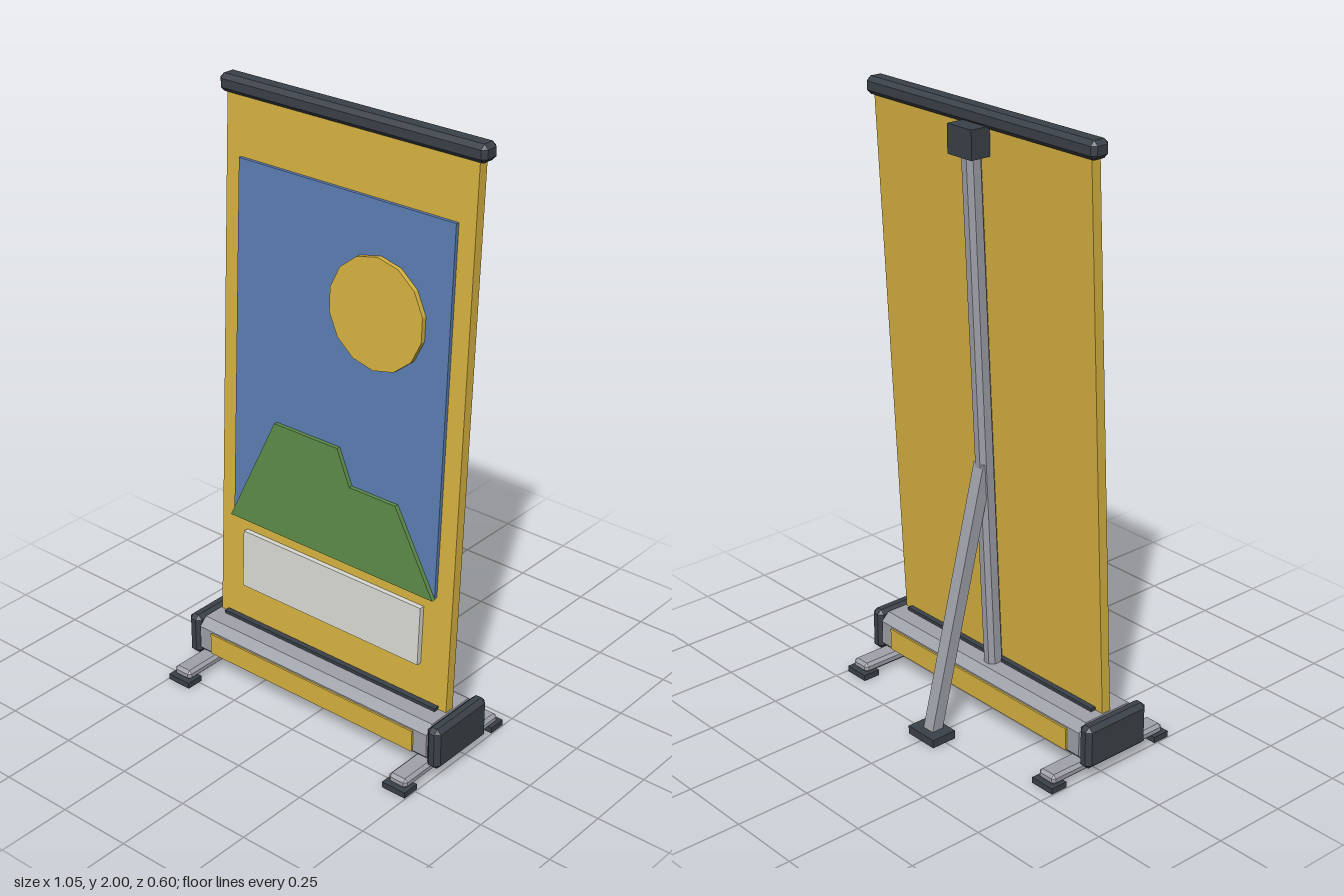
import * as THREE from 'three';
import { ConvexGeometry } from 'three/addons/geometries/ConvexGeometry.js';

const paint = (name, color) => Object.assign(new THREE.MeshStandardMaterial({ color }), { name });

// Box with every edge cut at 45 degrees
function chamferBox(w, h, d, c) {
  const points = [];
  for (const x of [-w / 2, w / 2]) for (const y of [-h / 2, h / 2]) for (const z of [-d / 2, d / 2]) {
    const sx = Math.sign(x) * c, sy = Math.sign(y) * c, sz = Math.sign(z) * c;
    points.push(
      new THREE.Vector3(x, y - sy, z - sz),
      new THREE.Vector3(x - sx, y, z - sz),
      new THREE.Vector3(x - sx, y - sy, z));
  }
  return new ConvexGeometry(points);
}

const polygon = (points) => new THREE.Shape(points.map(([x, y]) => new THREE.Vector2(x, y)));

export function createModel() {
  const model = new THREE.Group();
  model.name = 'bannerStand';
  const yellow = paint('bannerYellow', 0xd9b441);
  const blue = paint('skyBlue', 0x5c7db3);
  const green = paint('hillGreen', 0x5e8c4a);
  const white = paint('captionWhite', 0xdcdcd6);
  const dark = paint('darkPlastic', 0x3b4149);
  const silver = paint('aluminium', 0xa0a2aa);

  const add = (parent, name, geometry, material, x, y, z) => {
    const mesh = new THREE.Mesh(geometry, material);
    mesh.name = name;
    mesh.position.set(x, y, z);
    parent.add(mesh);
    return mesh;
  };
  const box = (w, h, d) => new THREE.BoxGeometry(w, h, d);

  // Banner, its picture and the rear post all lean back together
  const banner = new THREE.Group();
  banner.name = 'leaningBanner';
  banner.position.z = 0.057;
  banner.rotation.x = -0.0506;
  model.add(banner);
  add(banner, 'bannerSheet', box(0.94, 1.82, 0.033), yellow, 0, 1.06, 0);
  add(banner, 'sky', box(0.82, 1.197, 0.012), blue, 0, 1.159, 0.0225);
  const sun = new THREE.CylinderGeometry(0.178, 0.178, 0.016, 14).toNonIndexed();
  sun.rotateX(Math.PI / 2);
  sun.computeVertexNormals();
  add(banner, 'sun', sun, yellow, 0.148, 1.414, 0.0365);
  const hills = polygon([[-0.412, 0.558], [0.412, 0.558], [0.254, 0.824],
    [0.074, 0.824], [0.021, 0.938], [-0.235, 0.938]]);
  add(banner, 'hills', new THREE.ExtrudeGeometry(hills, { depth: 0.014, bevelEnabled: false }),
    green, 0, 0, 0.0285);
  add(banner, 'captionPanel', box(0.726, 0.2, 0.018), white, 0, 0.411, 0.0255);
  add(banner, 'rearPost', chamferBox(0.05, 1.77, 0.057, 0.014), silver, 0, 1.035, -0.045);

  // Top rail and the bracket holding the post
  add(model, 'topRail', chamferBox(0.992, 0.056, 0.066, 0.014), dark, 0, 1.972, -0.043);
  add(model, 'postBracket', box(0.105, 0.09, 0.07), dark, 0, 1.907, -0.092);

  // Base housing: chamfered profile run along x
  const profile = polygon([[-0.142, 0.045], [0.142, 0.045], [0.119 + 0.0, 0.045], [0.119, 0.07],
    [0.119, 0.15], [0.091, 0.177], [-0.091, 0.177], [-0.119, 0.15], [-0.119, 0.07], [-0.095, 0.045]].slice(3)
    .concat([[0.095, 0.045]]));
  const housing = new THREE.ExtrudeGeometry(profile, { depth: 0.95, bevelEnabled: false });
  housing.translate(0, 0, -0.475);
  housing.rotateY(Math.PI / 2);
  add(model, 'baseHousing', housing, silver, 0, 0, 0.048);
  add(model, 'bannerSlot', box(0.88, 0.014, 0.07), dark, 0, 0.181, 0.048);
  for (const side of [-1, 1]) {
    add(model, side > 0 ? 'frontStripe' : 'backStripe', box(0.846, 0.075, 0.008), yellow,
      0, 0.107, 0.048 + side * 0.121);
  }

  // End caps and feet on both sides
  for (const side of [-1, 1]) {
    const label = side > 0 ? 'left' : 'right';
    add(model, label + 'EndCap', chamferBox(0.05, 0.146, 0.252, 0.015), dark, side * 0.5, 0.112, 0.048);
    add(model, label + 'FootArm', chamferBox(0.07, 0.034, 0.47, 0.01), silver, side * 0.453, 0.033, 0.048);
    for (const end of [-1, 1]) {
      add(model, label + (end > 0 ? 'FrontPad' : 'BackPad'), box(0.088, 0.02, 0.06), dark,
        side * 0.453, 0.01, 0.048 + end * 0.22);
    }
  }

  // Rear strut and its pad
  const foot = new THREE.Vector3(0, 0.02, -0.252);
  const top = new THREE.Vector3(0, 0.88, -0.037);
  const strut = add(model, 'rearStrut', box(0.044, foot.distanceTo(top), 0.041), silver, 0, 0, 0);
  strut.position.copy(foot).add(top).multiplyScalar(0.5);
  strut.rotation.x = Math.atan2(top.z - foot.z, top.y - foot.y);
  add(model, 'strutPad', box(0.12, 0.028, 0.09), dark, 0, 0.014, -0.256);

  return model;
}
